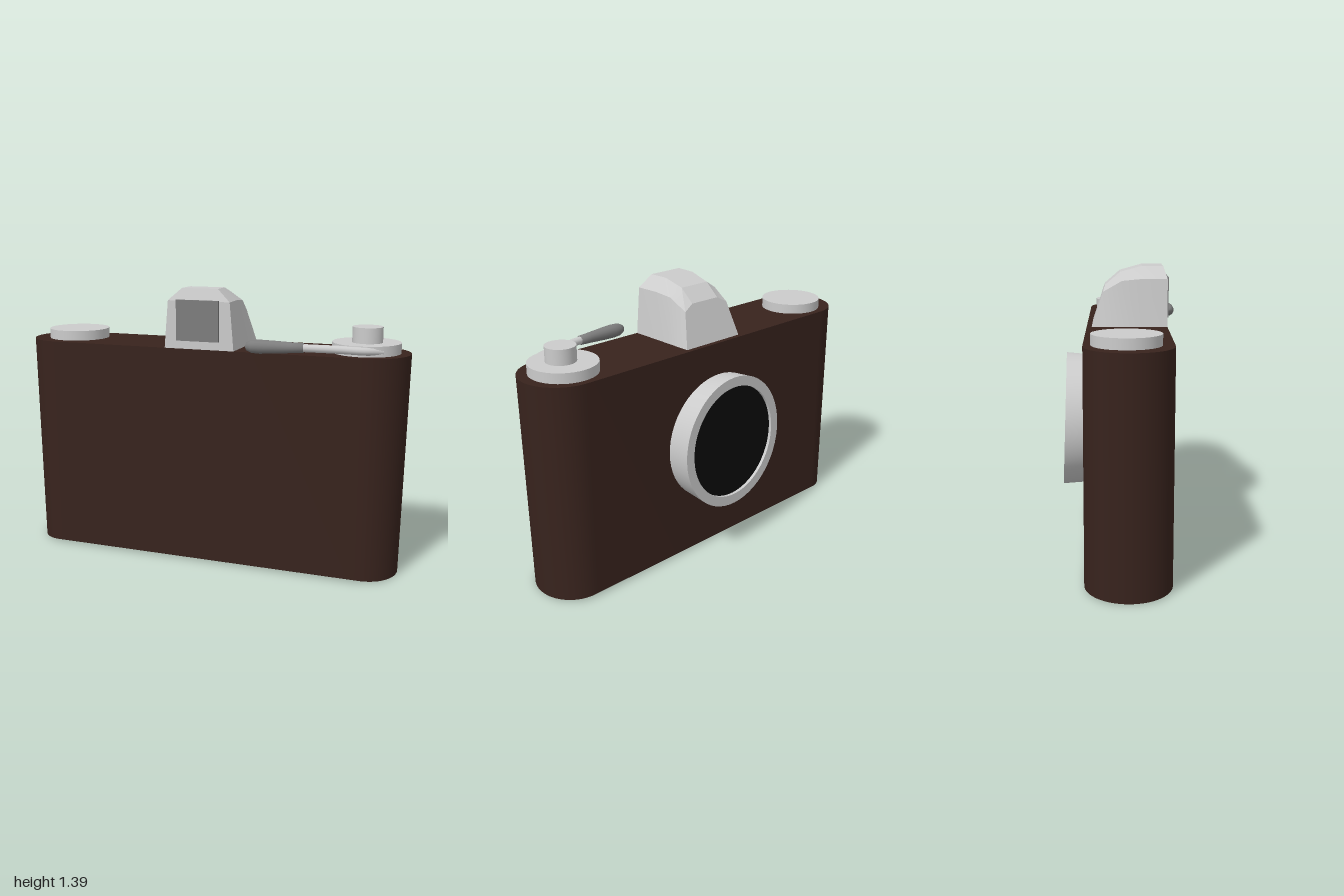
import * as THREE from 'three';
import { toCreasedNormals } from 'three/addons/utils/BufferGeometryUtils.js';

const mat = (color, extra = {}) => new THREE.MeshStandardMaterial({ color, ...extra });
const grey = mat(0xcccccc);
const darkGrey = mat(0x7d7d7d);

// Move every vertex by a rule
function warp(geometry, rule) {
  const p = geometry.attributes.position;
  const v = new THREE.Vector3();
  for (let i = 0; i < p.count; i++) {
    rule(v.fromBufferAttribute(p, i));
    p.setXYZ(i, v.x, v.y, v.z);
  }
  return geometry;
}

// Stadium block whose rounded ends taper and dip slightly towards the bottom
function bodyGeometry() {
  const s = new THREE.Shape();
  s.moveTo(-0.8, -0.235);
  s.lineTo(0.8, -0.235);
  s.absarc(0.8, -0.035, 0.2, -Math.PI / 2, Math.PI / 2, false);
  s.lineTo(-0.8, 0.165);
  s.absarc(-0.8, -0.035, 0.2, Math.PI / 2, Math.PI * 1.5, false);
  const g = new THREE.ExtrudeGeometry(s, { depth: 1.1, bevelEnabled: false, curveSegments: 20 });
  g.rotateX(-Math.PI / 2);
  warp(g, (v) => {
    const out = Math.max(0, Math.abs(v.x) - 0.8);
    const k = v.y / 1.1;
    v.x -= Math.sign(v.x) * out * 0.1 * (1 - k);
    if (k < 0.5) v.y = 0.012 * (1 - out / 0.2);
  });
  return toCreasedNormals(g, 0.5);
}

// Loft of six-point arches running from the front face to the sloping back
function finderGeometry() {
  // per section: base z, then shoulder x, y, z, then crown x, y, z
  const sections = [
    [0.235, 0.16, 1.335, 0.235, 0.093, 1.395, 0.215],
    [0.11, 0.155, 1.335, 0.11, 0.09, 1.395, 0.11],
    [0.0, 0.15, 1.325, 0.01, 0.085, 1.365, 0.0],
    [-0.08, 0.14, 1.27, -0.085, 0.085, 1.3, -0.075],
    [-0.14, 0.175, 1.1, -0.14, 0.1, 1.1, -0.14],
  ];
  const pos = [];
  const idx = [];
  for (const [bz, sx, sy, sz, cx, cy, cz] of sections) {
    pos.push(-0.18, 1.1, bz, -sx, sy, sz, -cx, cy, cz, cx, cy, cz, sx, sy, sz, 0.18, 1.1, bz);
  }
  for (let i = 0; i < sections.length - 1; i++) {
    for (let j = 0; j < 5; j++) {
      const a = i * 6 + j;
      idx.push(a, a + 1, a + 7, a, a + 7, a + 6);
    }
  }
  idx.push(0, 5, 4, 0, 4, 1, 1, 4, 3, 1, 3, 2);
  const g = new THREE.BufferGeometry();
  g.setAttribute('position', new THREE.Float32BufferAttribute(pos, 3));
  g.setIndex(idx);
  return toCreasedNormals(g, 0.25);
}

export function createModel() {
  const model = new THREE.Group();
  const add = (name, geometry, material, x = 0, y = 0, z = 0) => {
    const mesh = new THREE.Mesh(geometry, material);
    mesh.name = name;
    mesh.position.set(x, y, z);
    model.add(mesh);
    return mesh;
  };
  const disc = (name, r, y0, y1, x, z) =>
    add(name, new THREE.CylinderGeometry(r, r, y1 - y0, 40), grey, x, (y0 + y1) / 2, z);

  add('body', bodyGeometry(), mat(0x38231d));

  // Dials on the top plate
  disc('rewindDial', 0.157, 1.09, 1.15, -0.765, 0.025);
  disc('advanceDial', 0.165, 1.09, 1.15, 0.785, 0.032);
  disc('shutterKnob', 0.073, 1.14, 1.225, 0.79, 0.04);

  // Viewfinder hump and eyepiece
  add('viewfinderHousing', finderGeometry(), mat(0xcccccc, { side: THREE.DoubleSide }));
  add('eyepiece', new THREE.BoxGeometry(0.22, 0.2, 0.03), darkGrey, -0.005, 1.24, 0.228);

  // Lens ring on the back side, its rim slightly skewed
  const skew = (v) => {
    if (v.z < -0.05) v.z += 0.035 * v.y - 0.047 * v.x;
  };
  const profile = [[0.333, 0], [0.343, 0.12], [0.292, 0.12], [0.292, 0.1]]
    .map(([r, d]) => new THREE.Vector2(r, d));
  const ring = new THREE.LatheGeometry(profile, 56).rotateX(-Math.PI / 2);
  add('lensRing', toCreasedNormals(warp(ring, skew), 0.6),
    mat(0xcccccc, { side: THREE.DoubleSide }), -0.01, 0.602, -0.165);
  const glass = new THREE.CircleGeometry(0.294, 56).rotateY(Math.PI).translate(0, 0, -0.104);
  add('lensGlass', warp(glass, skew), mat(0x0c0c0c), -0.01, 0.602, -0.165);

  // Advance lever: curved arm and a thicker tapered grip
  const path = new THREE.CatmullRomCurve3([
    new THREE.Vector3(0.88, 1.122, 0.145),
    new THREE.Vector3(0.81, 1.128, 0.196),
    new THREE.Vector3(0.7, 1.134, 0.224),
    new THREE.Vector3(0.52, 1.137, 0.248),
  ]);
  add('leverArm', new THREE.TubeGeometry(path, 24, 0.019, 12), grey);

  const gripProfile = [[0, 0], [0.023, 0], [0.026, 0.06], [0.031, 0.14], [0.034, 0.21],
    [0.031, 0.25], [0.019, 0.275], [0, 0.283]].map(([r, d]) => new THREE.Vector2(r, d));
  const grip = add('leverGrip', new THREE.LatheGeometry(gripProfile, 16), darkGrey, 0.53, 1.137, 0.247);
  grip.quaternion.setFromUnitVectors(new THREE.Vector3(0, 1, 0),
    new THREE.Vector3(-0.28, -0.003, 0.019).normalize());

  return model;
}
